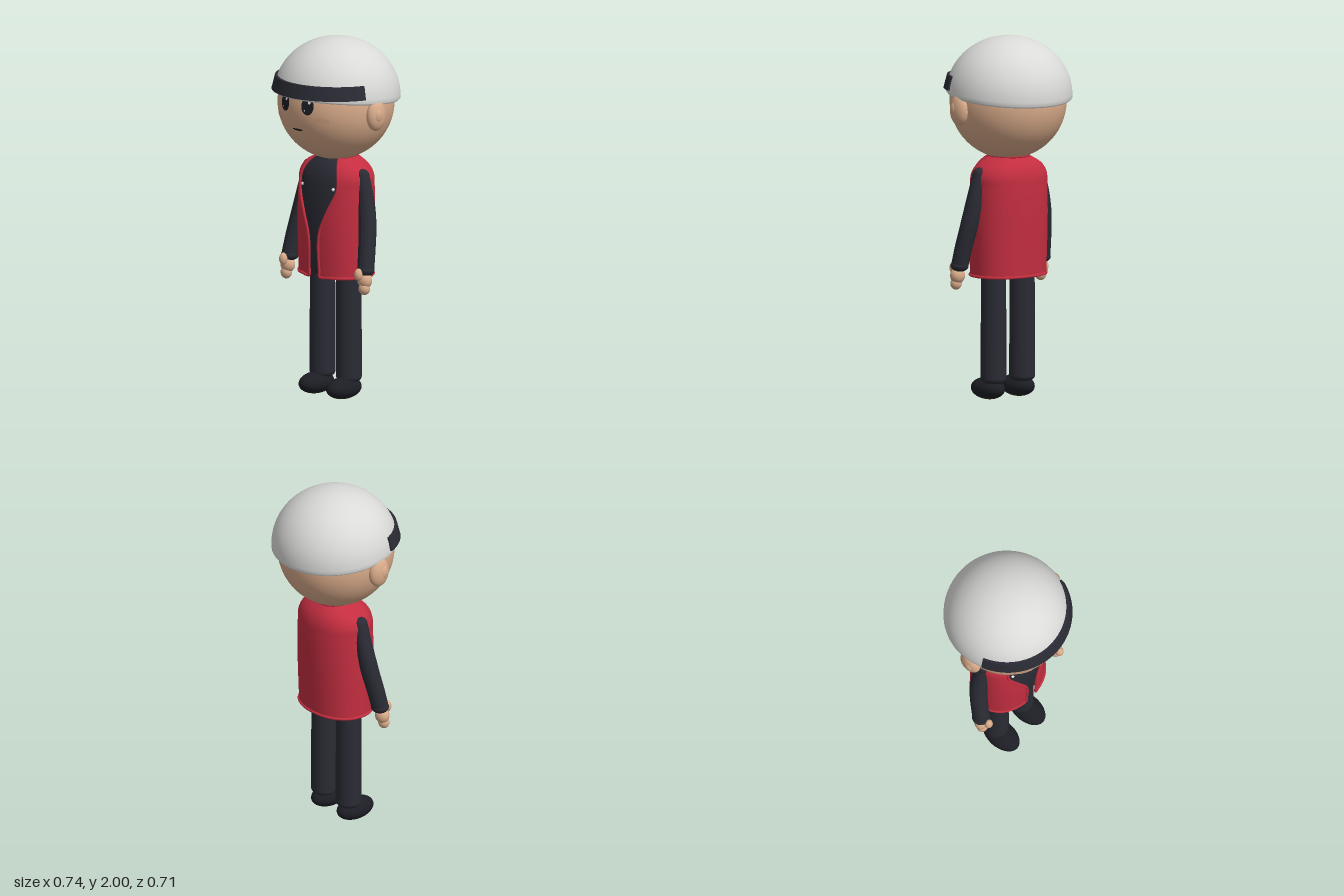
import * as THREE from 'three';
import { toCreasedNormals } from 'three/addons/utils/BufferGeometryUtils.js';
import { ParametricGeometry } from 'three/addons/geometries/ParametricGeometry.js';

const mat = (name, color, side = THREE.FrontSide) =>
  Object.assign(new THREE.MeshStandardMaterial({ color, side }), { name });

export function createModel() {
  const skin = mat('skin', 0xd9ab8a);
  const blush = mat('blush', 0xd6a585);
  const dark = mat('dark cloth', 0x2a2b34, THREE.DoubleSide);
  const red = mat('red vest', 0xc42e40, THREE.DoubleSide);
  const grey = mat('cap grey', 0xdadad9);
  const ink = mat('ink', 0x1d1e25);
  const white = mat('white', 0xf2f2f2);
  const sole = mat('sole', 0x352e26);

  const model = new THREE.Group();
  model.name = 'figure';
  const add = (name, geo, material, x = 0, y = 0, z = 0) => {
    const m = new THREE.Mesh(geo, material);
    m.name = name;
    m.position.set(x, y, z);
    model.add(m);
    return m;
  };
  const ball = (name, material, x, y, z, rx, ry, rz) =>
    add(name, new THREE.SphereGeometry(1, 32, 20).scale(rx, ry, rz), material, x, y, z);

  // Head
  const R = 0.32, headY = 1.645;
  add('head', new THREE.SphereGeometry(R, 64, 40), skin, 0, headY, 0);

  // Thin oval that follows the front of the head
  const facePatch = (name, material, x, y, w, h, lift) => {
    const geo = new THREE.CircleGeometry(1, 32).scale(w, h, 1).translate(x, y - headY, 0);
    const p = geo.attributes.position;
    for (let i = 0; i < p.count; i++) {
      p.setZ(i, Math.sqrt(R * R - p.getX(i) ** 2 - p.getY(i) ** 2) + lift);
    }
    geo.computeVertexNormals();
    add(name, geo, material, 0, headY, 0);
  };
  for (const s of [1, -1]) {
    facePatch('eye', ink, s * 0.083, 1.673, 0.037, 0.048, 0.006);
    facePatch('eyeGlint', white, s * 0.083 + 0.013, 1.695, 0.008, 0.009, 0.009);
    facePatch('eyeGlintSmall', white, s * 0.083 - 0.014, 1.65, 0.004, 0.004, 0.009);
    facePatch('cheek', blush, s * 0.157, 1.59, 0.038, 0.024, 0.004);
  }
  facePatch('mouth', ink, 0, 1.53, 0.037, 0.006, 0.004);

  // Cap: a tilted dome with a turned-in hem
  const capProfile = [[0.31, 0.004], [0.325, -0.006], [0.338, -0.006], [0.346, 0.004]]
    .map(([x, y]) => new THREE.Vector2(x, y));
  for (let i = 1; i <= 24; i++) {
    const a = (i / 24) * Math.PI / 2;
    capProfile.push(new THREE.Vector2(Math.max(0, 0.345 * Math.cos(a)), 0.004 + 0.318 * Math.sin(a)));
  }
  add('cap', new THREE.LatheGeometry(capProfile, 64), grey, 0, 1.679, -0.009).rotation.x = -0.09;

  // Headband: an arc round the front with closed ends
  const bandProfile = [[0.322, 1.715], [0.353, 1.715], [0.334, 1.79], [0.31, 1.79], [0.322, 1.715]]
    .map(([x, y]) => new THREE.Vector2(x, y));
  const bandEnd = 1.25;
  add('headband', toCreasedNormals(
    new THREE.LatheGeometry(bandProfile, 48, -bandEnd, 2 * bandEnd), 0.6), dark);
  for (const a of [-bandEnd, bandEnd]) {
    add('headbandEnd', new THREE.ShapeGeometry(new THREE.Shape(bandProfile.slice(0, 4))), dark)
      .rotation.y = a - Math.PI / 2;
  }

  // Torso rows: height, then half width, front depth, back depth, half opening
  const rows = [
    [0.69, 0.221, 0.172, 0.172, 0.038],
    [0.93, 0.226, 0.180, 0.182, 0.042],
    [1.05, 0.226, 0.178, 0.185, 0.087],
    [1.18, 0.224, 0.168, 0.183, 0.140],
    [1.25, 0.220, 0.155, 0.176, 0.136],
    [1.30, 0.185, 0.130, 0.155, 0.115],
    [1.345, 0.105, 0.090, 0.115, 0.083],
  ];
  const yLow = 0.69, yHigh = 1.345;
  const spline = new THREE.CubicInterpolant(
    rows.map(r => r[0]), rows.flatMap(r => r.slice(1)), 4, new Float32Array(4));
  const power = (v, e) => Math.sign(v) * Math.abs(v) ** e;
  const torsoPoint = (y, a, inset, target) => {
    const [w, f, b] = spline.evaluate(y);
    const c = Math.cos(a);
    return target.set((w - inset) * power(Math.sin(a), 0.92), y,
      ((c > 0 ? f : b) - inset) * power(c, 0.92));
  };
  const openAngle = y => {
    const [w, , , o] = spline.evaluate(y);
    return Math.asin(Math.min(1, o / w) ** (1 / 0.92));
  };

  // Vest sheet, open down the front, with a rounded trim round its border
  add('vest', new ParametricGeometry((u, v, t) => {
    const y = yLow + (yHigh - yLow) * v;
    const a = openAngle(y);
    torsoPoint(y, a + u * 2 * (Math.PI - a), 0, t);
  }, 64, 40), red);
  const border = [];
  const edge = (y, a) => border.push(torsoPoint(y, a, 0, new THREE.Vector3()));
  const N = 20;
  for (const [y, dir] of [[yLow, 1], [yHigh, -1]]) {
    const a = openAngle(y);
    for (let i = 0; i < N; i++) edge(y, Math.PI - dir * (Math.PI - a) * (1 - 2 * i / N));
    for (let i = 0; i < N; i++) {
      const h = y + dir * (yHigh - yLow) * i / N;
      edge(h, dir > 0 ? 2 * Math.PI - openAngle(h) : openAngle(h));
    }
  }
  add('vestTrim', new THREE.TubeGeometry(
    new THREE.CatmullRomCurve3(border, true), 240, 0.008, 8, true), red);

  // Shirt inside the vest
  const shirtLow = 0.695;
  add('shirt', new ParametricGeometry((u, v, t) => {
    const y = shirtLow + (yHigh - shirtLow) * v;
    torsoPoint(y, u * 2 * Math.PI, 0.006 + 0.02 * (1 - v) ** 3, t);
  }, 64, 32), dark);
  add('shirtBase', new THREE.CircleGeometry(1, 48).rotateX(Math.PI / 2).scale(0.197, 1, 0.148),
    dark, 0, shirtLow + 0.004, 0);
  add('neck', new THREE.CylinderGeometry(0.095, 0.1, 0.05, 32), dark, 0, 1.325, -0.01);

  for (const s of [1, -1]) {
    // Ear
    ball('ear', skin, s * 0.325, 1.615, 0.022, 0.04, 0.086, 0.065);
    ball('earInner', skin, s * 0.349, 1.62, 0.033, 0.02, 0.042, 0.028);

    ball('button', white, s * 0.115, 1.185, 0.142, 0.009, 0.009, 0.009);

    // Arm: tube whose thickness changes along its path
    const path = new THREE.CatmullRomCurve3([[0.197, 1.25, 0], [0.228, 1.12, 0.002],
      [0.256, 0.98, 0.018], [0.276, 0.85, 0.045], [0.287, 0.75, 0.065]]
      .map(([x, y, z]) => new THREE.Vector3(s * x, y, z)));
    const steps = 24, sides = 20;
    const arm = new THREE.TubeGeometry(path, steps, 1, sides);
    const p = arm.attributes.position, v = new THREE.Vector3();
    for (let i = 0; i < p.count; i++) {
      const t = Math.floor(i / (sides + 1)) / steps;
      const r = 0.041 + 0.011 * Math.sin(Math.min(1, t * 1.8) * Math.PI / 2) - 0.005 * t;
      const c = path.getPointAt(t);
      v.fromBufferAttribute(p, i).sub(c).multiplyScalar(r).add(c);
      p.setXYZ(i, v.x, v.y, v.z);
    }
    arm.computeVertexNormals();
    add('arm', arm, dark);
    ball('shoulder', dark, s * 0.197, 1.25, 0, 0.041, 0.041, 0.041);
    ball('cuff', dark, s * 0.287, 0.75, 0.065, 0.05, 0.034, 0.049);

    // Hand
    ball('hand', skin, s * 0.292, 0.695, 0.077, 0.043, 0.045, 0.038);
    ball('fingers', skin, s * 0.296, 0.651, 0.085, 0.033, 0.035, 0.03);
    ball('thumb', skin, s * 0.285, 0.733, 0.12, 0.023, 0.034, 0.023);

    // Leg
    add('leg', new THREE.CylinderGeometry(0.069, 0.071, 0.6, 32), dark, s * 0.1, 0.42, 0.003);
    ball('legEnd', dark, s * 0.1, 0.12, 0.003, 0.071, 0.04, 0.071);

    // Shoe with a separate underside
    const cut = Math.PI * 0.76;
    const shoe = (name, from, length, material) => add(name,
      new THREE.SphereGeometry(1, 40, 20, 0, 2 * Math.PI, from, length).scale(0.074, 0.06, 0.118),
      material, s * 0.104, 0.06, 0.047);
    shoe('shoe', 0, cut, ink);
    shoe('shoeSole', cut, Math.PI - cut, sole);
  }
  return model;
}
